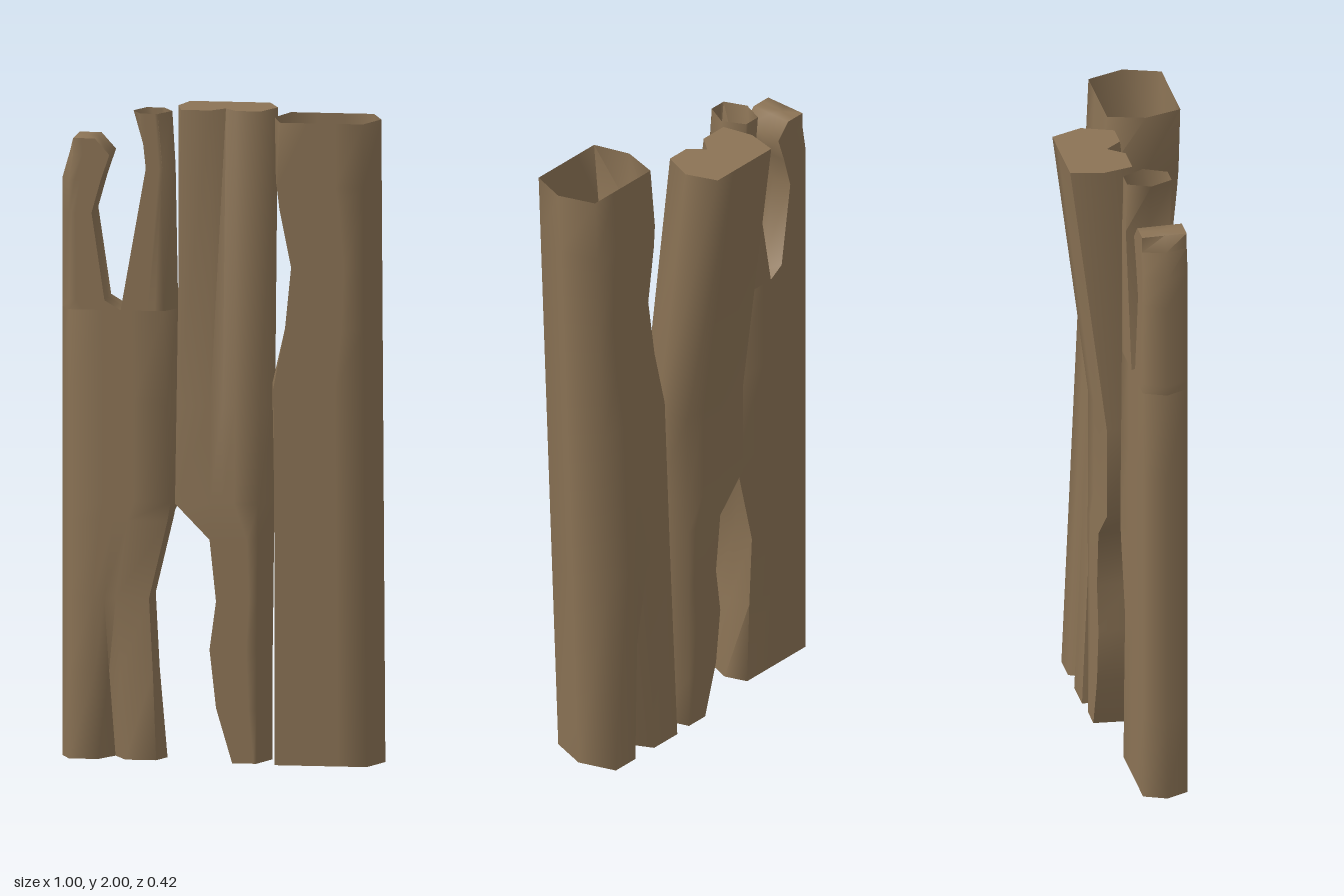
import * as THREE from 'three';
import { toCreasedNormals } from 'three/addons/utils/BufferGeometryUtils.js';

const wood = new THREE.MeshStandardMaterial({ color: 0x8b7355, side: THREE.DoubleSide });
wood.name = 'weathered wood';

// Six-sided trunk lofted through rows of
// [y, left x, right x, back z, front z, left bevel, right bevel, front groove depth, back groove depth]
function trunk(name, rows, { grooveAt = 0.5, capped = false } = {}) {
  const pos = [], index = [], n = 12;
  for (const [y, xl, xr, zb, zf, bl, br, gf = 0, gb = 0] of rows) {
    const mid = (zb + zf) / 2, width = xr - xl;
    const gx = xl + width * grooveAt, w = width * 0.13;
    const ring = [
      [xl + bl, zf], [gx - w, zf], [gx, zf - gf], [gx + w, zf], [xr - br, zf], [xr, mid],
      [xr - br, zb], [gx + w, zb], [gx, zb + gb], [gx - w, zb], [xl + bl, zb], [xl, mid],
    ];
    for (const [x, z] of ring) pos.push(x, y, z);
  }
  for (let r = 0; r < rows.length - 1; r++) {
    for (let i = 0; i < n; i++) {
      const a = r * n + i, b = r * n + (i + 1) % n;
      index.push(a, b, b + n, a, b + n, a + n);
    }
  }
  if (capped) {
    const [y, xl, xr, zb, zf] = rows[rows.length - 1];
    const c = rows.length * n, base = c - n;
    pos.push((xl + xr) / 2, y, zb * 0.6 + zf * 0.4);
    for (let i = 0; i < n; i++) index.push(c, base + i, base + (i + 1) % n);
  }
  const geo = new THREE.BufferGeometry();
  geo.setAttribute('position', new THREE.Float32BufferAttribute(pos, 3));
  geo.setIndex(index);
  const mesh = new THREE.Mesh(toCreasedNormals(geo, 1.3), wood);
  mesh.name = name;
  return mesh;
}

export function createModel() {
  const group = new THREE.Group();
  group.name = 'split trunks';

  // Forked trunk: one grooved base with two stems above the crotch
  const flat = (rows) => rows.map(([y, l, r, ...rest]) => [y, l, r, -0.06, 0.08, ...rest]);
  group.add(trunk('forkedBase', flat([
    [0, -0.5, -0.175, 0.03, 0.025, 0.08], [0.27, -0.5, -0.2, 0.03, 0.01, 0.03],
    [0.5, -0.5, -0.222, 0.03, 0], [0.74, -0.5, -0.165, 0.03, 0],
    [0.8, -0.5, -0.135, 0.03, 0.02], [1.1, -0.5, -0.137, 0.03, 0.03],
    [1.39, -0.5, -0.142, 0.03, 0.035],
  ])));
  group.add(trunk('outerStem', flat([
    [1.39, -0.5, -0.31, 0.03, 0], [1.42, -0.5, -0.36, 0.03, 0], [1.69, -0.5, -0.4, 0.03, 0],
    [1.79, -0.5, -0.372, 0.03, 0], [1.87, -0.477, -0.345, 0.02, 0],
    [1.92, -0.457, -0.39, 0, 0],
  ]), { capped: true }));
  group.add(trunk('innerStem', flat([
    [1.39, -0.31, -0.142, 0, 0.035], [1.83, -0.232, -0.15, 0, 0.035],
    [2, -0.28, -0.16, 0.03, 0.035],
  ])));

  // Middle trunk: narrow foot, leaning back, closed on top
  group.add(trunk('middleTrunk', [
    [0, 0.03, 0.15, -0.1, 0.11, 0.01, 0.035], [0.17, -0.01, 0.15, -0.1, 0.11, 0, 0.035],
    [0.35, -0.03, 0.15, -0.1, 0.11, 0, 0.035], [0.5, -0.01, 0.152, -0.1, 0.11, 0, 0.035],
    [0.69, -0.03, 0.154, -0.1, 0.11, 0, 0.035], [0.8, -0.137, 0.155, -0.098, 0.11, 0, 0.035],
    [1.1, -0.143, 0.155, -0.098, 0.078, 0.006, 0.035],
    [2, -0.16, 0.148, -0.213, -0.018, 0.022, 0.038, 0.05],
  ], { capped: true }));

  // Hollow trunk: leaning forward, open at both ends, with a scooped inner edge
  const scoop = [ // y, left edge, left bevel, back groove depth
    [0, 0.165, 0.01, 0.085], [0.65, 0.163, 0.015, 0], [1.17, 0.157, 0.02, 0],
    [1.36, 0.215, 0, 0], [1.55, 0.235, 0, 0], [1.73, 0.2, 0, 0],
    [1.8, 0.172, 0.02, 0], [2, 0.17, 0.033, 0],
  ];
  group.add(trunk('hollowTrunk', scoop.map(([y, left, bevel, groove]) => [
    y, left, 0.5, -0.105 + 0.0425 * y, 0.13 + 0.04 * y, bevel, 0.04, 0, groove,
  ]), { grooveAt: 0.48 }));

  return group;
}
